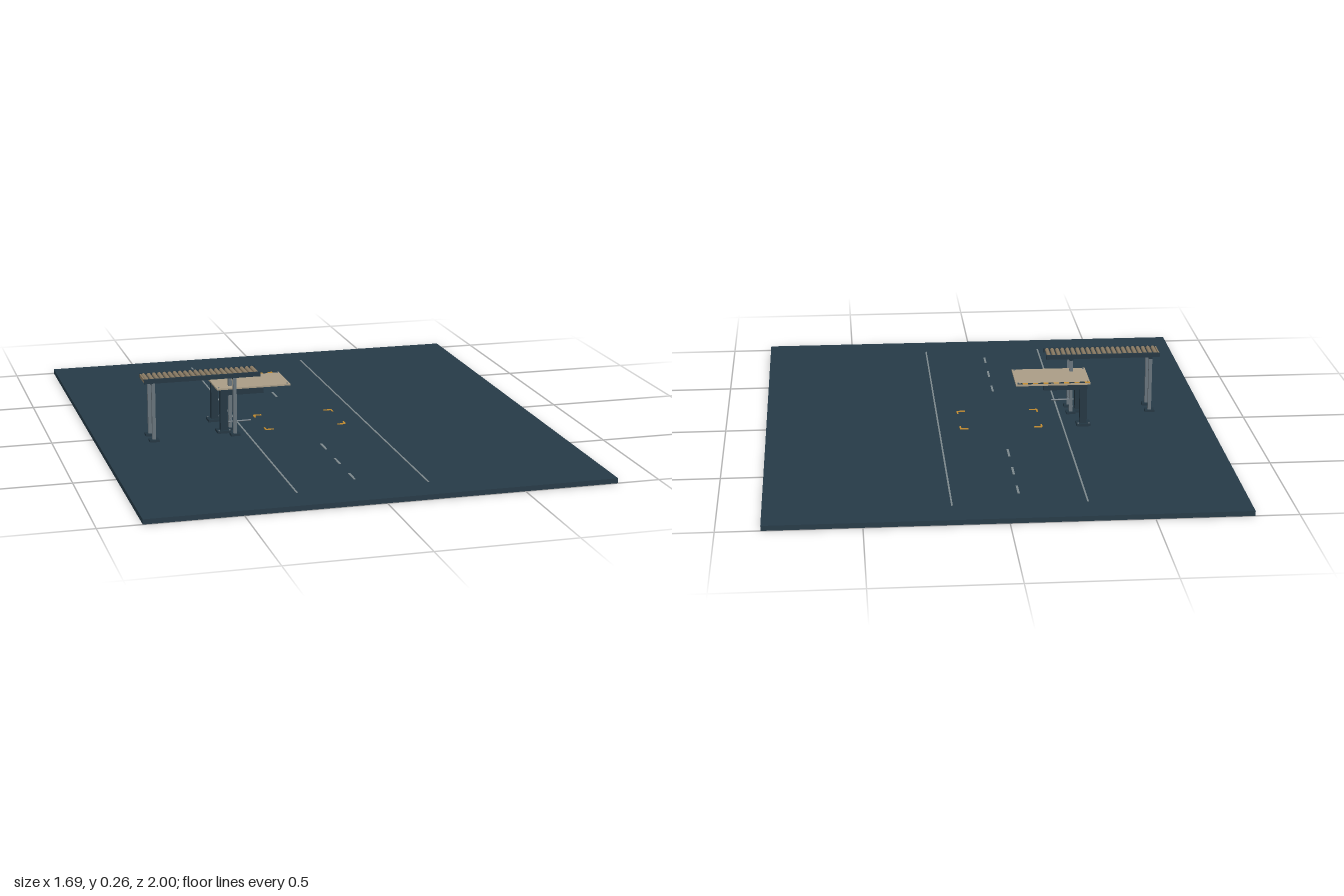
import * as THREE from 'three';

export function createModel() {
  const model = new THREE.Group();
  const mat = (name, color) => {
    const m = new THREE.MeshStandardMaterial({ color });
    m.name = name;
    return m;
  };
  const floorBlue = mat('floorBlue', 0x263a47);
  const steelDark = mat('steelDark', 0x223541);
  const steelGrey = mat('steelGrey', 0x66727a);
  const lineGrey = mat('lineGrey', 0x7c878b);
  const sand = mat('sand', 0xaa9d86);
  const rollerBrown = mat('rollerBrown', 0x8a7b64);
  const amber = mat('amber', 0xc48d30);

  // box given by its minimum and maximum corners
  const box = (name, material, x0, x1, y0, y1, z0, z1, parent = model) => {
    const mesh = new THREE.Mesh(new THREE.BoxGeometry(x1 - x0, y1 - y0, z1 - z0), material);
    mesh.position.set((x0 + x1) / 2, (y0 + y1) / 2, (z0 + z1) / 2);
    mesh.name = name;
    parent.add(mesh);
    return mesh;
  };
  const rod = (name, material, r, length, x, y, z, axis, parent = model, sides = 10) => {
    const mesh = new THREE.Mesh(new THREE.CylinderGeometry(r, r, length, sides), material);
    if (axis === 'x') mesh.rotation.z = Math.PI / 2;
    if (axis === 'z') mesh.rotation.x = Math.PI / 2;
    mesh.position.set(x, y, z);
    mesh.name = name;
    parent.add(mesh);
    return mesh;
  };
  const group = (name) => {
    const g = new THREE.Group();
    g.name = name;
    model.add(g);
    return g;
  };

  // floor slab
  const top = 0.018;
  box('floor', floorBlue, -0.845, 0.845, 0, top, -1, 1);

  // lane markings
  const lanes = group('laneMarkings');
  for (const x of [-0.283, 0.19])
    box('laneLine', lineGrey, x - 0.003, x + 0.003, top, top + 0.002, -0.87, 0.867, lanes);
  for (const z of [-0.74, -0.556, -0.37, 0.366, 0.55, 0.736])
    box('laneDash', lineGrey, -0.054, -0.046, top, top + 0.002, z - 0.035, z + 0.035, lanes);

  // amber corner brackets on the floor
  const corners = group('cornerBrackets');
  for (const sx of [-1, 1]) for (const sz of [-1, 1]) {
    const x = -0.047 + sx * 0.155, z = sz * 0.1;
    const xi = x - sx * 0.03, zi = z - sz * 0.026;
    box('bracketAcross', amber, Math.min(x, xi), Math.max(x, xi), top, top + 0.003, z - 0.003, z + 0.003, corners);
    box('bracketAlong', amber, x - 0.003, x + 0.003, top, top + 0.003, Math.min(z, zi), Math.max(z, zi), corners);
  }

  // cantilever stand: two columns with arms carrying the platform
  const stand = group('platformStand');
  for (const z of [-0.08, 0.08]) {
    box('columnFoot', steelDark, -0.389, -0.336, top, 0.027, z - 0.025, z + 0.025, stand);
    box('column', steelDark, -0.375, -0.348, 0.027, 0.164, z - 0.012, z + 0.012, stand);
    box('arm', steelDark, -0.375, -0.208, 0.162, 0.183, z - 0.012, z + 0.012, stand);
    for (const x of [-0.383, -0.342])
      rod('footBolt', steelGrey, 0.003, 0.004, x, 0.029, z + 0.018 * Math.sign(z), 'y', stand, 6);
  }
  box('platform', sand, -0.387, -0.103, 0.183, 0.189, -0.098, 0.09, stand);
  for (const x of [-0.378, -0.113]) for (const z of [-0.078, 0.079])
    rod('platformBolt', steelGrey, 0.003, 0.003, x, 0.19, z, 'y', stand, 8);

  // warning strip along the rear edge of the platform
  const pieces = 14, step = 0.276 / pieces;
  for (let i = 0; i < pieces; i++) {
    const x = -0.385 + i * step;
    box('warningStripe', i % 2 ? steelDark : amber, x, x + step, 0.189, 0.191, -0.093, -0.084, stand);
  }

  // raised roller conveyor
  const conveyor = group('rollerConveyor');
  for (const z of [0.046, 0.137])
    box('sideRail', steelDark, -0.672, -0.232, 0.241, 0.257, z - 0.005, z + 0.005, conveyor);
  const rollers = 22;
  for (let i = 0; i < rollers; i++) {
    const x = -0.658 + (i * 0.414) / (rollers - 1);
    rod('roller', rollerBrown, 0.0075, 0.083, x, 0.2515, 0.0915, 'z', conveyor, 12);
  }
  box('endStop', rollerBrown, -0.672, -0.667, 0.243, 0.256, 0.05, 0.133, conveyor);
  for (const x of [-0.638, -0.33]) {
    for (const z of [0.053, 0.134]) {
      box('postFoot', steelDark, x - 0.018, x + 0.018, top, 0.026, z - 0.016, z + 0.016, conveyor);
      box('post', steelGrey, x - 0.0065, x + 0.0065, 0.026, 0.242, z - 0.0065, z + 0.0065, conveyor);
    }
    box('crossBeam', steelDark, x - 0.007, x + 0.007, 0.233, 0.243, 0.046, 0.137, conveyor);
  }

  // low tie bars by the inner posts
  rod('crossTie', steelGrey, 0.003, 0.08, -0.33, 0.06, 0.0935, 'z', conveyor);
  rod('lowBar', steelGrey, 0.003, 0.087, -0.302, 0.06, 0.0935, 'x', conveyor);

  return model;
}
